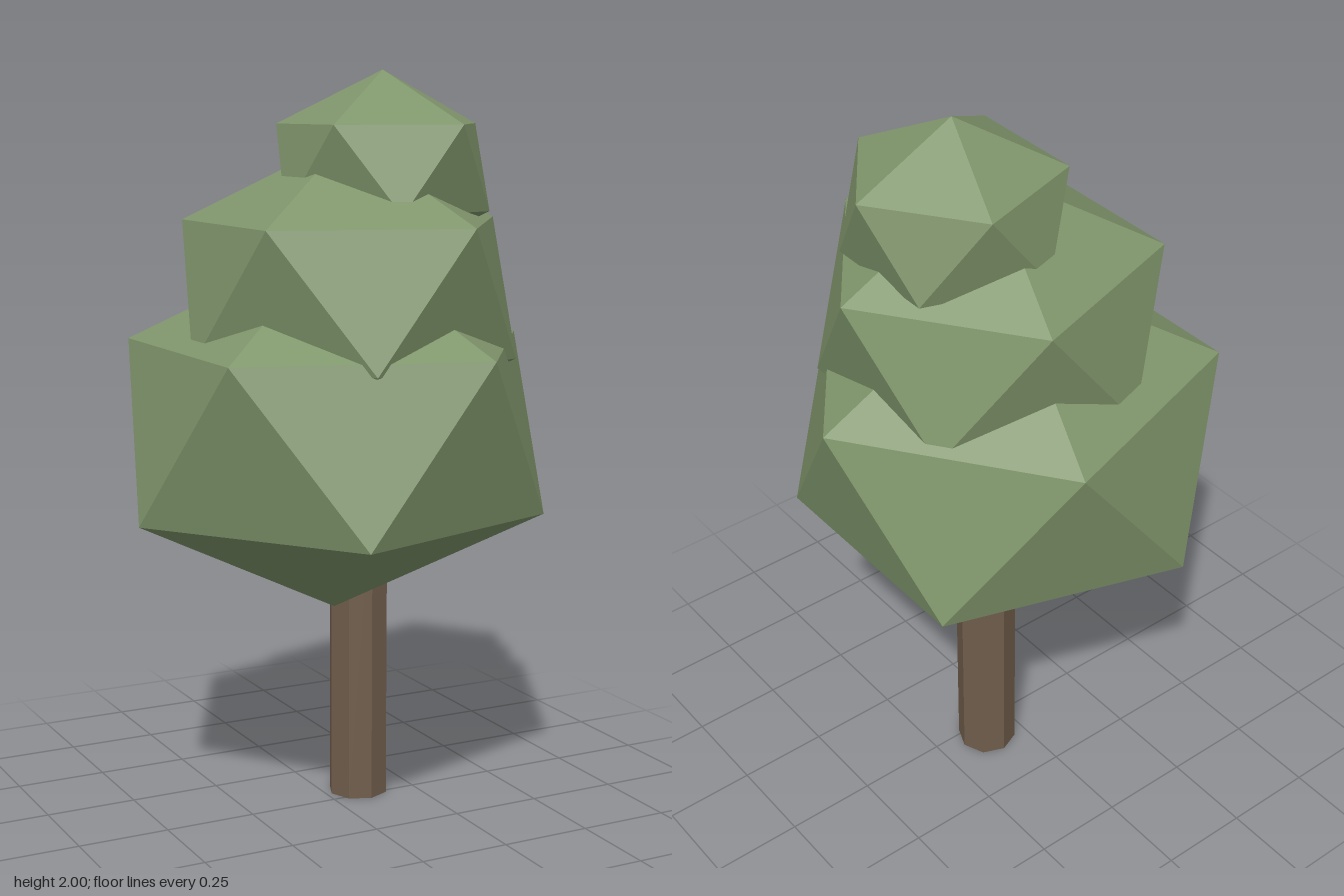
import * as THREE from 'three';

export function createModel() {
  const tree = new THREE.Group();
  tree.name = 'tree';

  const leafGreen = new THREE.MeshStandardMaterial({ color: 0x7f956b, flatShading: true });
  leafGreen.name = 'leaf green';
  const barkBrown = new THREE.MeshStandardMaterial({ color: 0x715e4c, flatShading: true });
  barkBrown.name = 'bark brown';

  // Squashed icosahedron standing on one corner, with an upper corner towards +x
  const golden = (1 + Math.sqrt(5)) / 2;
  function addFoliage(name, radius, x, y, z) {
    const geometry = new THREE.IcosahedronGeometry(radius, 0);
    geometry.rotateZ(-Math.atan(1 / golden));
    geometry.scale(1, 0.795, 1);
    geometry.computeVertexNormals();
    const mesh = new THREE.Mesh(geometry, leafGreen);
    mesh.name = name;
    mesh.position.set(x, y, z);
    tree.add(mesh);
  }

  // Three tiers of leaves, each smaller and leaning further to one side
  addFoliage('lowerFoliage', 0.633, 0, 1.06, 0);
  addFoliage('middleFoliage', 0.5, 0.022, 1.431, 0.036);
  addFoliage('upperFoliage', 0.3175, 0.117, 1.748, 0.05);

  // Eight-sided trunk, set off centre and running up into the leaves
  const height = 0.9;
  const trunk = new THREE.Mesh(new THREE.CylinderGeometry(0.083, 0.083, height, 8), barkBrown);
  trunk.name = 'trunk';
  trunk.position.set(0.098, height / 2, -0.045);
  tree.add(trunk);

  return tree;
}
